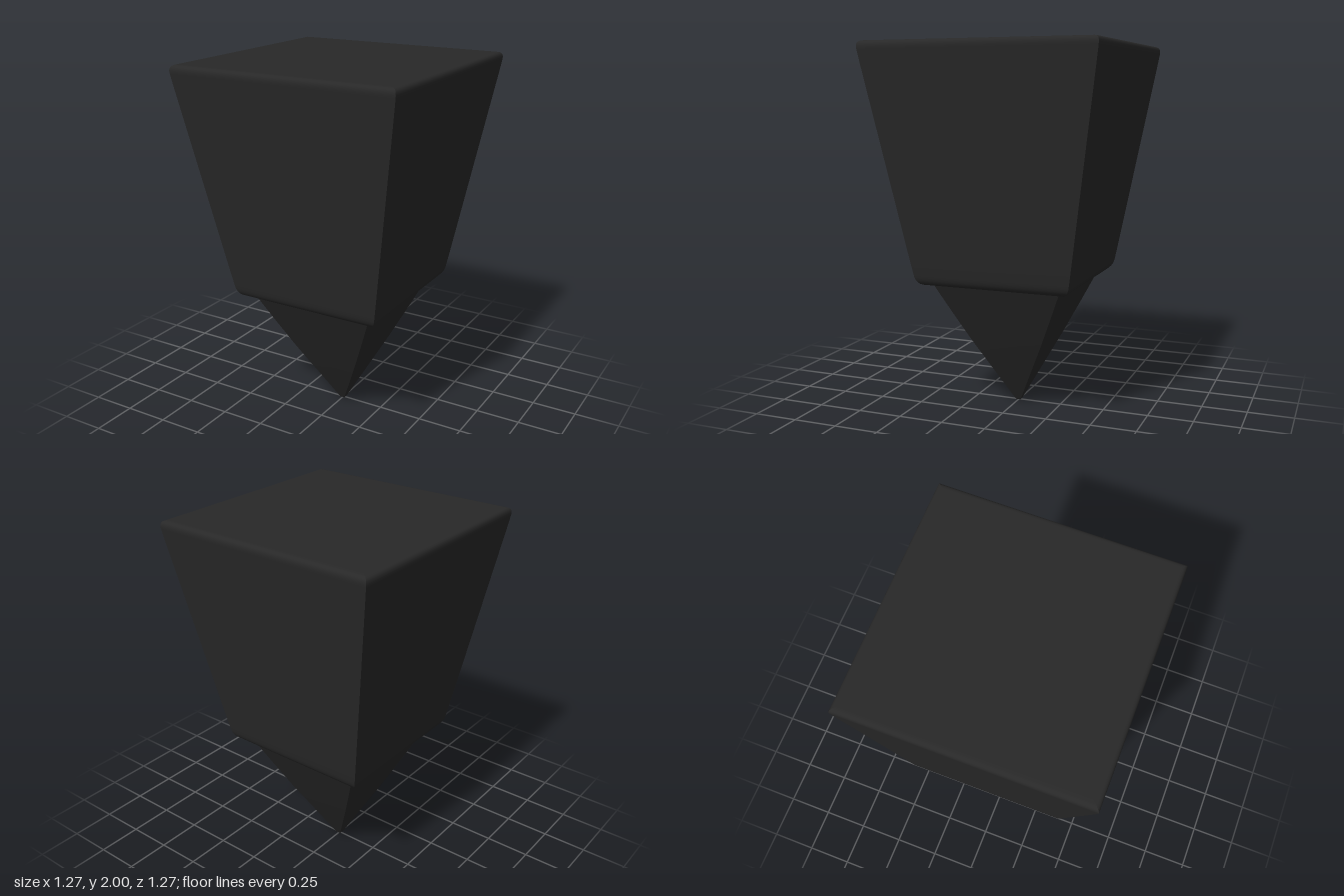
import * as THREE from 'three';

// Sweeps a [half-width, height] profile around a square: smooth along the profile, sharp at the four corners
function squareLoft(profile) {
  const positions = [], index = [];
  for (let side = 0; side < 4; side++) {
    const c = Math.round(Math.cos(side * Math.PI / 2)), s = Math.round(Math.sin(side * Math.PI / 2));
    const base = positions.length / 3;
    profile.forEach(([h, y], i) => {
      for (const x of [-h, h]) positions.push(x * c + h * s, y, -x * s + h * c);
      if (i === 0) return;
      const a = base + (i - 1) * 2;
      index.push(a, a + 1, a + 3, a, a + 3, a + 2);
    });
  }
  const geometry = new THREE.BufferGeometry();
  geometry.setAttribute('position', new THREE.Float32BufferAttribute(positions, 3));
  geometry.setIndex(index);
  geometry.computeVertexNormals();
  return geometry;
}

// Points of a rounded profile corner, bending from one point to another around a control point
function bend(from, control, to, steps = 6) {
  const v = (p) => new THREE.Vector2(...p);
  return new THREE.QuadraticBezierCurve(v(from), v(control), v(to)).getPoints(steps).map((p) => [p.x, p.y]);
}

export function createModel() {
  const model = new THREE.Group();
  const material = new THREE.MeshStandardMaterial({ color: 0x282828 });

  function add(name, profile) {
    const mesh = new THREE.Mesh(squareLoft(profile), material);
    mesh.name = name;
    model.add(mesh);
  }

  // Tapered block with a softened bottom and top rim
  add('taperedBody', [
    [0.355, 0.715],
    ...bend([0.385, 0.715], [0.428, 0.718], [0.437, 0.785]),
    [0.45, 0.86],
    [0.62, 1.88],
    ...bend([0.632, 1.955], [0.64, 2.0], [0.605, 2.0]),
    [0.58, 2.0],
    [0, 2.0],
  ]);

  // Slightly bulging pyramid with a blunt point
  add('pointedTip', [
    [0, 0],
    ...bend([0.008, 0], [0.014, 0], [0.02, 0.015], 3),
    [0.105, 0.185],
    [0.2, 0.375],
    [0.28, 0.545],
    [0.36, 0.72],
  ]);

  return model;
}
